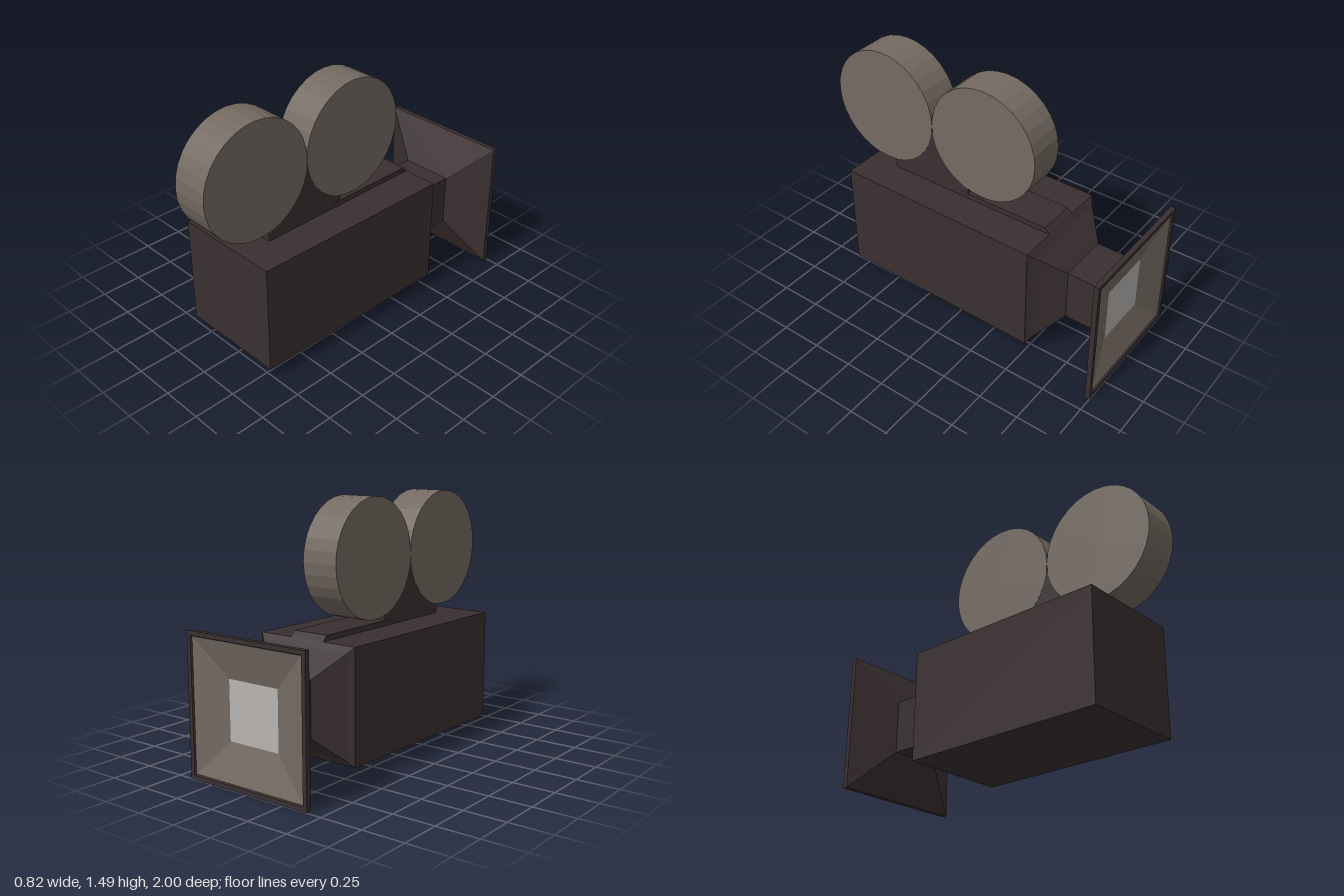
import * as THREE from 'three';

const material = (name, color) => {
  const m = new THREE.MeshStandardMaterial({ color });
  m.name = name;
  m.flatShading = true;
  return m;
};

export function createModel() {
  const camera = new THREE.Group();
  camera.name = 'movieCamera';
  const dark = material('dark brown casing', 0x3a2f30);
  const taupe = material('warm grey', 0x746a62);
  const glass = material('pale glass', 0xb8b4b1);
  const axisY = 0.41;

  const add = (name, geometry, mat) => {
    const mesh = new THREE.Mesh(geometry, mat);
    mesh.name = name;
    camera.add(mesh);
    return mesh;
  };

  // Square section swept along z; profile pairs are [half width, z], front to back
  const squareLoft = (profile) => {
    const pts = profile.map(([h, z]) => new THREE.Vector2(h * Math.SQRT2, -z));
    return new THREE.LatheGeometry(pts, 4, Math.PI / 4)
      .rotateX(-Math.PI / 2).translate(0, axisY, 0);
  };

  // Side outline in [z, y], extruded across x
  const sideExtrude = (outline, width) => {
    const shape = new THREE.Shape(outline.map(([z, y]) => new THREE.Vector2(z, y)));
    return new THREE.ExtrudeGeometry(shape, { depth: width, bevelEnabled: false })
      .translate(0, 0, -width / 2).rotateY(-Math.PI / 2);
  };

  // Main casing, slightly skewed towards the front
  const body = new THREE.BoxGeometry(0.665, 0.66, 1.29).translate(0, axisY, 0.135);
  const pos = body.attributes.position;
  for (let i = 0; i < pos.count; i++) {
    pos.setX(i, pos.getX(i) - 0.018 * (pos.getZ(i) + 0.51) / 1.29);
  }
  body.computeVertexNormals();
  add('body', body, dark);

  // Tapered mount, neck, flared hood and its rim
  add('lensHood', squareLoft([
    [0.33, -0.51], [0.295, -0.535], [0.16, -0.67], [0.16, -0.84],
    [0.41, -0.97], [0.41, -1], [0.385, -1], [0.38, -0.99],
  ]), dark);
  add('hoodLining', squareLoft([[0.38, -0.99], [0.17, -0.935]]), taupe);
  add('lens', new THREE.PlaneGeometry(0.34, 0.34).rotateY(Math.PI)
    .translate(0, axisY, -0.935), glass);

  // Raised strip on the roof
  add('topStrip', sideExtrude([
    [0.1, 0.72], [-0.51, 0.72], [-0.51, 0.74], [-0.48, 0.772], [0.1, 0.772],
  ], 0.23), dark);

  // Film reels
  const reelY = 1.14, reelR = 0.35, frontZ = 0.65, rearZ = -0.05;
  for (const [name, z] of [['frontReel', frontZ], ['rearReel', rearZ]]) {
    const reel = add(name, new THREE.CylinderGeometry(reelR, reelR, 0.23, 32)
      .rotateZ(Math.PI / 2), taupe);
    reel.position.set(0, reelY, z);
  }

  // Bracket cradling both reels
  const arc = (cz, from, to) => Array.from({ length: 9 }, (_, i) => {
    const a = THREE.MathUtils.degToRad(from + (to - from) * i / 8);
    return [cz + 0.345 * Math.cos(a), reelY + 0.345 * Math.sin(a)];
  });
  add('reelBracket', sideExtrude([
    [0.585, 0.72], ...arc(frontZ, -100.8, -172).map((p) => p),
    ...arc(rearZ, -8, -73), [0.05, 0.72],
  ], 0.228), dark);

  return camera;
}
